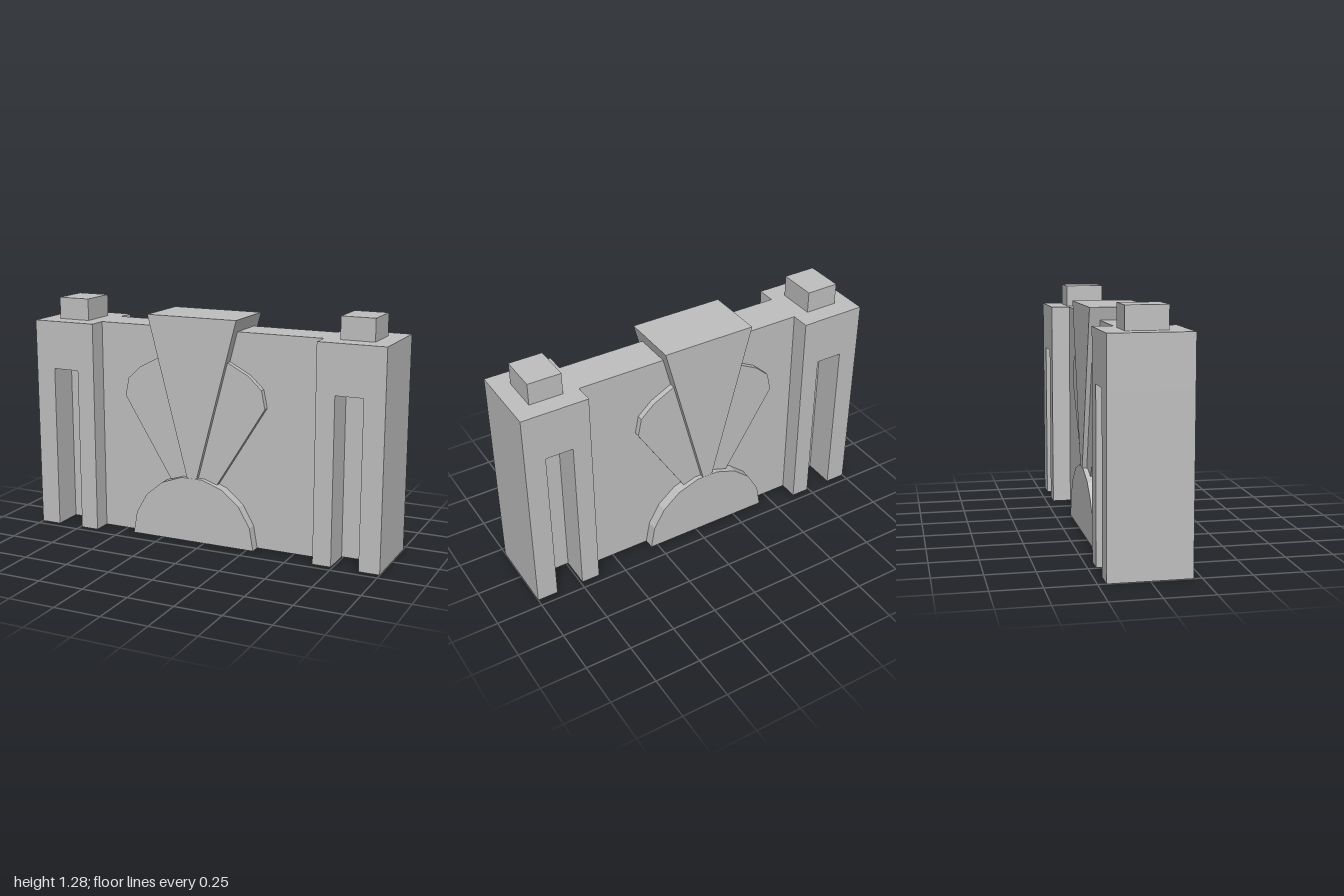
import * as THREE from 'three';

const CX = -0.072;      // axis of the fan ornament
const H = 1.158;        // wall height
const WALL = 0.105;     // half thickness of the wall panel
const R = 0.36;         // radius of the half disc
const INNER = 0.64;     // inner face of a pillar

// Keep only the triangles that pass a test on their centre and normal
function keepFaces(source, test) {
  const geo = source.index ? source.toNonIndexed() : source;
  const p = geo.attributes.position;
  const tri = new THREE.Triangle();
  const c = new THREE.Vector3(), n = new THREE.Vector3();
  const out = [];
  for (let i = 0; i < p.count; i += 3) {
    tri.setFromAttributeAndIndices(p, i, i + 1, i + 2);
    tri.getMidpoint(c);
    tri.getNormal(n);
    if (test(c, n)) for (const v of [tri.a, tri.b, tri.c]) out.push(v.x, v.y, v.z);
  }
  const result = new THREE.BufferGeometry();
  result.setAttribute('position', new THREE.Float32BufferAttribute(out, 3));
  result.computeVertexNormals();
  return result;
}

// Outline in x, y extruded from z0 to z1
function slab(points, z0, z1) {
  const shape = new THREE.Shape(points.map(([x, y]) => new THREE.Vector2(x, y)));
  const geo = new THREE.ExtrudeGeometry(shape, { depth: z1 - z0, bevelEnabled: false });
  return geo.translate(0, 0, z0);
}

export function createModel() {
  const model = new THREE.Group();
  const stone = new THREE.MeshStandardMaterial({ color: 0xbfbfbf, side: THREE.DoubleSide });
  stone.name = 'grey stone';

  const add = (parent, name, geo) => {
    const mesh = new THREE.Mesh(geo, stone);
    mesh.name = name;
    parent.add(mesh);
    return mesh;
  };

  // Raised ornament on both faces of the wall, open towards the wall and the ground
  const relief = (name, points, depth) => {
    for (const s of [1, -1]) {
      const geo = slab(points, s > 0 ? WALL : -depth, s > 0 ? depth : -WALL);
      add(model, (s > 0 ? 'front' : 'back') + name,
        keepFaces(geo, (c, n) => n.z * s > -0.5 && c.y > 0.001));
    }
  };

  // Half disc at the foot of the fan
  const arc = [];
  for (let i = 0; i <= 9; i++) {
    const a = i * Math.PI / 9;
    arc.push([CX + R * Math.cos(a), R * Math.sin(a)]);
  }
  relief('HalfDisc', arc, 0.162);

  // Wall panel with an arch left out behind the half disc, open underneath
  const wall = slab([[-INNER, 0], ...arc.slice().reverse(), [INNER, 0], [INNER, H], [-INNER, H]], -WALL, WALL);
  add(model, 'wallPanel', keepFaces(wall, (c, n) => Math.abs(n.z) > 0.5 || c.y > H - 0.001));

  // Fan petals either side of the keystone
  const petal = [[0.137, 0.33], [0.41, 0.77], [0.39, 0.868], [0.315, 0.937], [0.198, 0.998], [0.027, 0.355], [0.063, 0.355]];
  for (const s of [1, -1]) {
    relief(s > 0 ? 'LeftPetal' : 'RightPetal', petal.map(([x, y]) => [CX + s * x, y]), 0.137);
  }

  // Tapered keystone through the wall
  add(model, 'keystone', slab([
    [CX - 0.028, 0.355], [CX + 0.028, 0.355], [CX + 0.257, 1.225], [CX - 0.257, 1.225],
  ], -0.162, 0.162));

  // Pillars with a deep slot in the front and back
  const D = 0.208, W = 0.038, S0 = 0.74, S1 = 0.888, SLOT = 0.895;
  const plan = [
    [INNER, -D], [S0, -D], [S0, -W], [S1, -W], [S1, -D], [1, -D],
    [1, D], [S1, D], [S1, W], [S0, W], [S0, D], [INNER, D], [INNER, WALL], [INNER, -WALL],
  ];
  for (const s of [1, -1]) {
    const pillar = new THREE.Group();
    pillar.name = s > 0 ? 'leftPillar' : 'rightPillar';
    if (s < 0) pillar.rotation.y = Math.PI;
    model.add(pillar);

    const shaft = slab(plan, 0, SLOT).rotateX(-Math.PI / 2);
    add(pillar, 'slottedShaft', keepFaces(shaft, (c, n) =>
      Math.abs(n.y) < 0.5 && !(c.x < INNER + 0.001 && Math.abs(c.z) < WALL)));

    const head = new THREE.BoxGeometry(1 - INNER, H - SLOT, 2 * D);
    head.translate((1 + INNER) / 2, (H + SLOT) / 2, 0);
    add(pillar, 'pillarHead', head);

    const cap = new THREE.BoxGeometry(0.18, 0.118, 0.21);
    cap.translate(0.816, H + 0.059, 0);
    add(pillar, 'pillarCap', cap);
  }

  return model;
}
